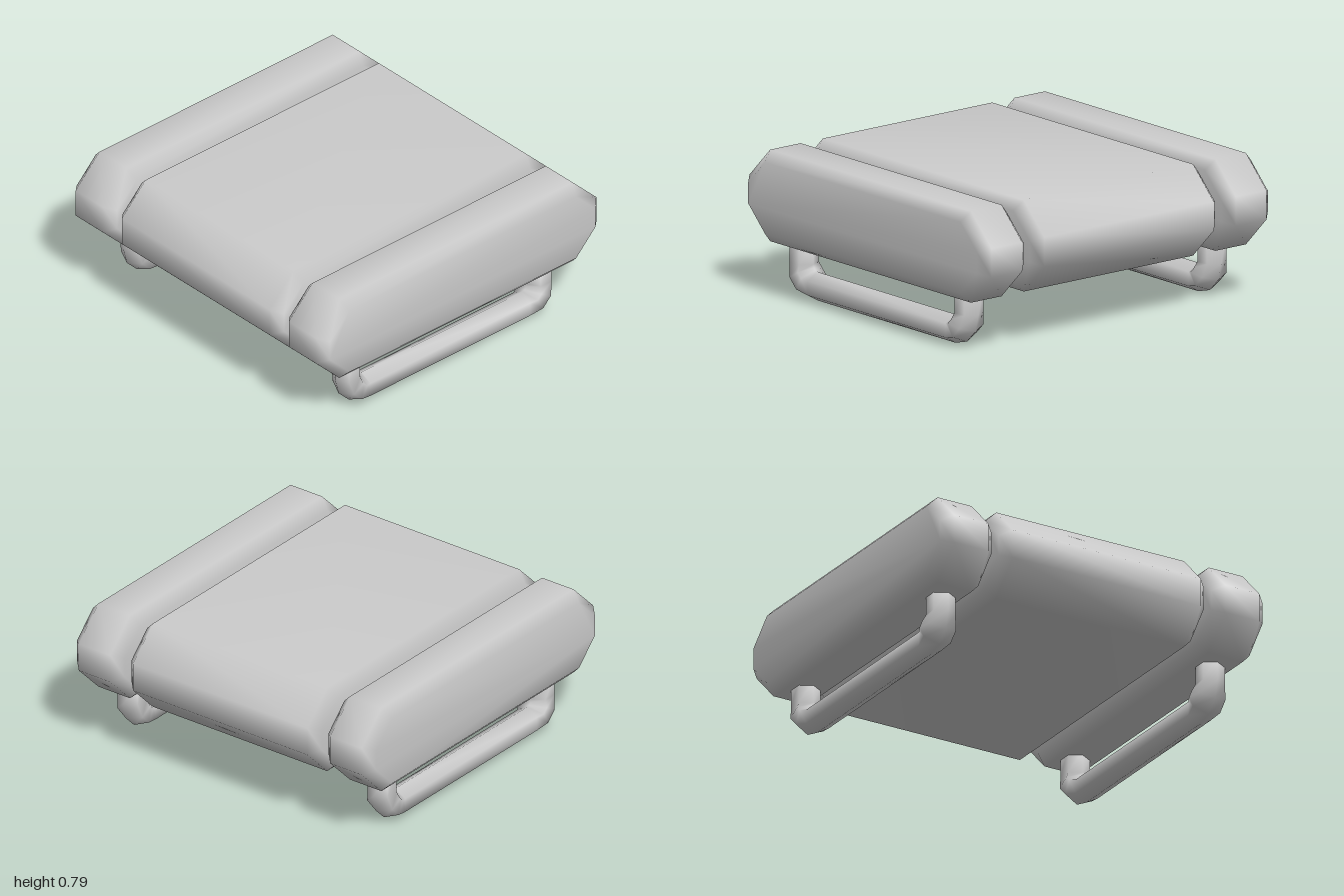
import * as THREE from 'three';

const material = new THREE.MeshStandardMaterial({ color: 0xcccccc });

// Skins a list of equal-length closed rings and caps both ends, with smooth shared normals.
function loft(rings) {
  const n = rings[0].length;
  const last = (rings.length - 1) * n;
  const index = [];
  for (let r = 0; r < rings.length - 1; r++) {
    for (let i = 0; i < n; i++) {
      const a = r * n + i, b = r * n + (i + 1) % n;
      index.push(a, b, b + n, a, b + n, a + n);
    }
  }
  for (let i = 1; i < n - 1; i++) {
    index.push(0, i + 1, i);
    index.push(last, last + i, last + i + 1);
  }
  const geometry = new THREE.BufferGeometry();
  geometry.setAttribute('position', new THREE.Float32BufferAttribute(rings.flat(2), 3));
  geometry.setIndex(index);
  geometry.computeVertexNormals();
  return geometry;
}

// Eight-sided cushion outline in the y-z plane, shrunk evenly by d.
function outline(x, d) {
  const midY = 0.54, k = d * Math.tan(Math.PI / 8);
  const halfZ = 1 - d, halfY = 0.25 - d, flatZ = 0.83 - k, flatY = 0.08 - k;
  return [
    [flatY, halfZ], [halfY, flatZ], [halfY, -flatZ], [flatY, -halfZ],
    [-flatY, -halfZ], [-halfY, -flatZ], [-halfY, flatZ], [-flatY, halfZ],
  ].map(([y, z]) => [x, midY + y, z]).reverse();
}

// Cushion between two x positions, with bevelled sides.
function cushion(name, x0, x1) {
  const bevel = 0.055;
  const mesh = new THREE.Mesh(loft([
    outline(x0, bevel), outline(x0 + bevel, 0),
    outline(x1 - bevel, 0), outline(x1, bevel),
  ]), material);
  mesh.name = name;
  return mesh;
}

// Hexagonal U-shaped runner: down, along and up again, slightly swollen at the bends.
function runner(name, x) {
  const radius = 0.078, bend = 0.112, cornerZ = 0.57, cornerY = 0.19;
  const stations = [];
  for (let i = 0; i <= 3; i++) {
    const angle = i * Math.PI / 6;
    stations.push({
      z: cornerZ + bend * Math.cos(angle), y: cornerY - bend * Math.sin(angle),
      angle, swell: i === 1 || i === 2 ? 1.25 : 1,
    });
  }
  stations.unshift({ ...stations[0], y: 0.32 });
  const mirrored = stations.map(s => ({ ...s, z: -s.z, angle: Math.PI - s.angle })).reverse();
  const rings = [...stations, ...mirrored].map(({ z, y, angle, swell }) => {
    const ring = [];
    for (let i = 0; i < 6; i++) {
      const t = i * Math.PI / 3;
      const out = radius * Math.cos(t);
      ring.push([
        x + radius * swell * Math.sin(t),
        y - out * Math.sin(angle),
        z + out * Math.cos(angle),
      ]);
    }
    return ring.reverse();
  });
  const mesh = new THREE.Mesh(loft(rings), material);
  mesh.name = name;
  return mesh;
}

export function createModel() {
  const model = new THREE.Group();
  model.name = 'paddedBench';

  // Wide middle cushion
  model.add(cushion('centreCushion', -0.637, 0.637));

  // Narrow side cushions, each on its own runner
  model.add(cushion('leftCushion', 0.68, 1), cushion('rightCushion', -1, -0.68));
  model.add(runner('leftRunner', 0.835), runner('rightRunner', -0.835));
  return model;
}
